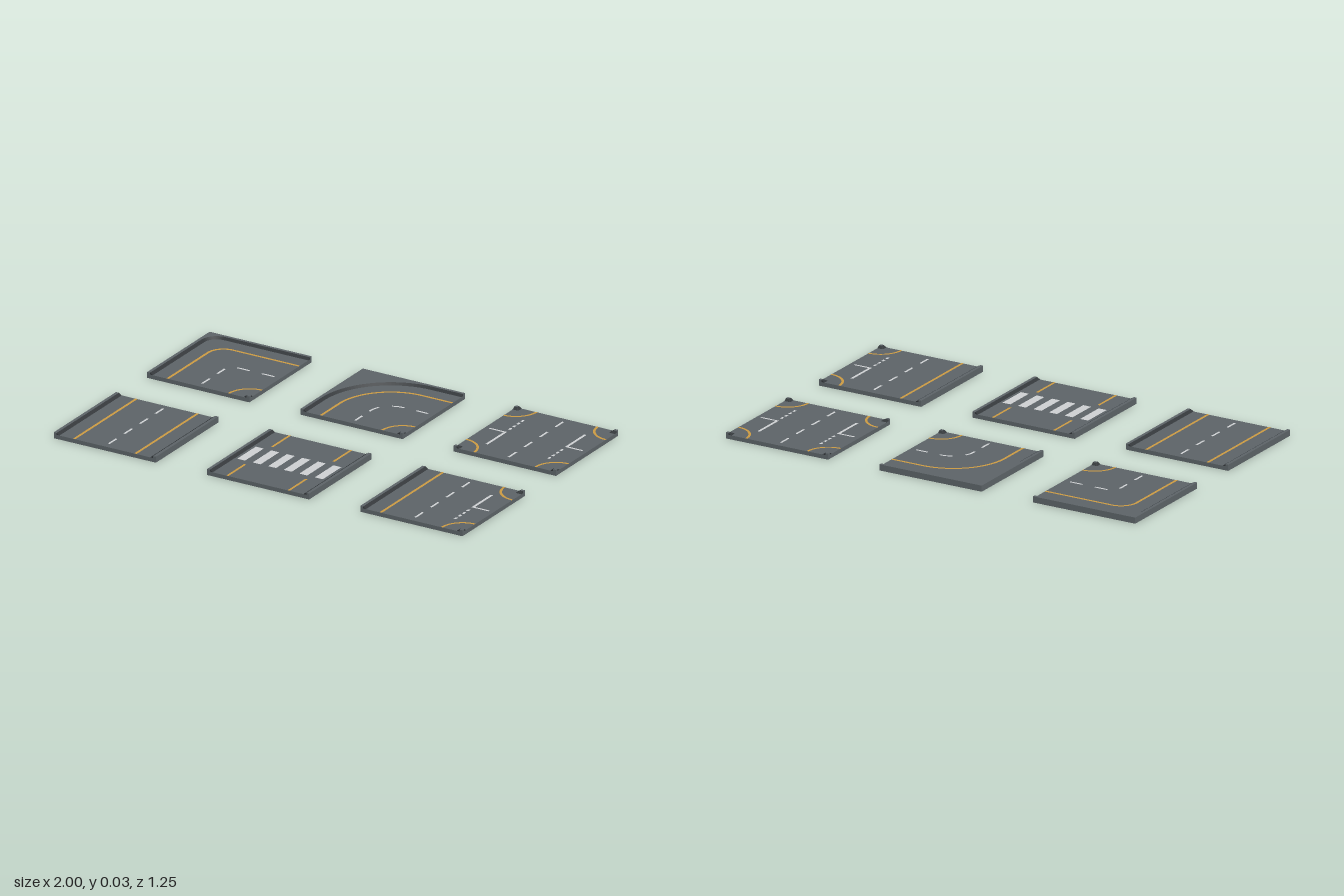
import * as THREE from 'three';

const H = 0.25;          // half a tile
const ROAD = 0.018;      // road surface height
const CURB = 0.027;      // curb top height
const MARK = ROAD + 0.001;

const mat = (name, color) => new THREE.MeshStandardMaterial({ name, color, side: THREE.DoubleSide });
const V = (x, z) => new THREE.Vector2(x, z);

export function createModel() {
  const asphalt = mat('asphalt', 0x5c6367);
  const dark = mat('darkCurbFace', 0x33373a);
  const yellow = mat('yellowPaint', 0xcb9a42);
  const white = mat('whitePaint', 0xcdcfd1);

  const add = (group, name, geometry, material) => {
    const mesh = new THREE.Mesh(geometry, material);
    mesh.name = name;
    group.add(mesh);
    return mesh;
  };

  // surface between two matching rows of points, with optional triangular ends
  function strip(a, ya, b, yb, ends = false) {
    const p = [];
    const put = (q, y) => p.push(q.x, y, q.y);
    for (let i = 0; i < a.length - 1; i++) {
      const quad = [[a[i], ya], [b[i], yb], [b[i + 1], yb], [a[i], ya], [b[i + 1], yb], [a[i + 1], ya]];
      // keep the upper side in front
      const u = b[i].clone().sub(a[i]), v = a[i + 1].clone().sub(a[i]);
      if (u.x * v.y - u.y * v.x > 0) quad.reverse();
      quad.forEach(([q, y]) => put(q, y));
    }
    if (ends) for (const i of [0, a.length - 1]) {
      put(a[i], ya); put(b[i], yb); put(a[i], yb);
    }
    const g = new THREE.BufferGeometry();
    g.setAttribute('position', new THREE.Float32BufferAttribute(p, 3));
    g.computeVertexNormals();
    return g;
  }

  // painted line of constant width
  function line(group, name, pts, width, material) {
    const side = (s) => pts.map((p, i) => {
      const t = pts[Math.min(i + 1, pts.length - 1)].clone().sub(pts[Math.max(i - 1, 0)]).normalize();
      return V(p.x - t.y * s * width / 2, p.y + t.x * s * width / 2);
    });
    add(group, name, strip(side(1), MARK, side(-1), MARK), material);
  }

  // path from the front edge, round a corner, to the right edge
  function bend(off, r) {
    const path = new THREE.Path(), c = off + r;
    path.moveTo(off, H);
    if (H - c > 1e-4) path.lineTo(off, c);
    path.absarc(c, c, r, Math.PI, Math.PI * 1.5, false);
    if (H - c > 1e-4) path.lineTo(H, off);
    return path;
  }
  const straight = (x) => new THREE.Path([V(x, H), V(x, -H)]);

  function dashes(group, path, count) {
    for (let i = 0; i < count; i++) {
      const pts = [];
      for (let k = 0; k <= 6; k++) pts.push(path.getPointAt((i + 0.25 + k / 12) / count));
      line(group, 'centreDash', pts, 0.01, white);
    }
  }

  // raised curb: flat top to the tile edge and a dark slope down to the road
  function curb(group, topPath, footPath, outer) {
    const top = topPath.getPoints(16), foot = footPath.getPoints(16);
    const slab = new THREE.ExtrudeGeometry(new THREE.Shape([...top, ...outer]), { depth: CURB - ROAD, bevelEnabled: false });
    slab.rotateX(Math.PI / 2).translate(0, CURB, 0);
    add(group, 'curbTop', slab, asphalt);
    add(group, 'curbSlope', strip(top, CURB, foot, ROAD + 0.0003, true), dark);
  }

  function sideCurb(group, side = -1) {
    const g = new THREE.Group();
    g.name = 'sideCurb';
    curb(g, straight(-0.236), straight(-0.222), [V(-H, -H), V(-H, H)]);
    if (side > 0) g.rotation.y = Math.PI;
    group.add(g);
  }

  // small curb and yellow arc; quarter 0 is front right, turning counter-clockwise
  function corner(group, quarter = 0) {
    const g = new THREE.Group();
    g.name = 'cornerCurb';
    curb(g, bend(0.236, 0.002), bend(0.222, 0.006), [V(H, H)]);
    line(g, 'cornerLine', bend(0.15, 0.1).getPoints(16), 0.011, yellow);
    g.rotation.y = quarter * Math.PI / 2;
    group.add(g);
  }

  // stop line, solid lane edge and dotted lane edge for a side road on the right
  function junction(group, turned = false) {
    const g = new THREE.Group();
    g.name = 'junctionMarking';
    line(g, 'stopEdge', [V(0.15, -0.15), V(0.15, 0.005)], 0.012, white);
    line(g, 'laneDivider', [V(0.15, 0), V(0.228, 0)], 0.01, white);
    for (let i = 0; i < 4; i++) {
      const z = 0.03 + i * 0.033;
      line(g, 'dottedEdge', [V(0.15, z), V(0.15, z + 0.019)], 0.011, white);
    }
    if (turned) g.rotation.y = Math.PI;
    group.add(g);
  }

  const outerCorner = [V(H, -H), V(-H, -H), V(-H, H)];
  const edgeLine = (g, x) => line(g, 'edgeLine', [V(x, H), V(x, -H)], 0.012, yellow);

  // turning road with a given centre of curvature
  function turn(g, outerR, yellowR, whiteR) {
    curb(g, bend(-0.236, outerR + 0.014), bend(-0.222, outerR), outerCorner);
    line(g, 'edgeLine', bend(-0.15, yellowR).getPoints(24), 0.012, yellow);
    dashes(g, bend(0, whiteR), 4);
    corner(g);
  }

  const tiles = [
    ['straightRoad', -0.75, 0.375, (g) => {
      for (const s of [-1, 1]) { sideCurb(g, s); edgeLine(g, 0.15 * s); }
      dashes(g, straight(0), 4);
    }],
    ['crossingRoad', 0, 0.375, (g) => {
      for (const s of [-1, 1]) {
        sideCurb(g, s);
        for (const e of [-1, 1]) line(g, 'edgeLine', [V(0.15 * s, H * e), V(0.15 * s, 0.108 * e)], 0.011, yellow);
      }
      for (let i = 0; i < 6; i++) {
        const x = (i - 2.5) * 0.076;
        line(g, 'crossingStripe', [V(x, 0.075), V(x, -0.075)], 0.039, white);
      }
    }],
    ['sideJunction', 0.75, 0.375, (g) => {
      sideCurb(g);
      edgeLine(g, -0.15);
      dashes(g, straight(0), 4);
      junction(g);
      corner(g, 0);
      corner(g, 1);
    }],
    ['squareCorner', -0.75, -0.375, (g) => turn(g, 0.06, 0.075, 0.03)],
    ['roundCorner', 0, -0.375, (g) => turn(g, 0.322, 0.25, 0.1)],
    ['crossroads', 0.75, -0.375, (g) => {
      dashes(g, straight(0), 4);
      junction(g);
      junction(g, true);
      for (let q = 0; q < 4; q++) corner(g, q);
    }],
  ];

  const model = new THREE.Group();
  model.name = 'roadTiles';
  for (const [name, x, z, build] of tiles) {
    const g = new THREE.Group();
    g.name = name;
    g.position.set(x, 0, z);
    add(g, 'roadSlab', new THREE.BoxGeometry(2 * H, ROAD, 2 * H).translate(0, ROAD / 2, 0), asphalt);
    build(g);
    model.add(g);
  }
  return model;
}
